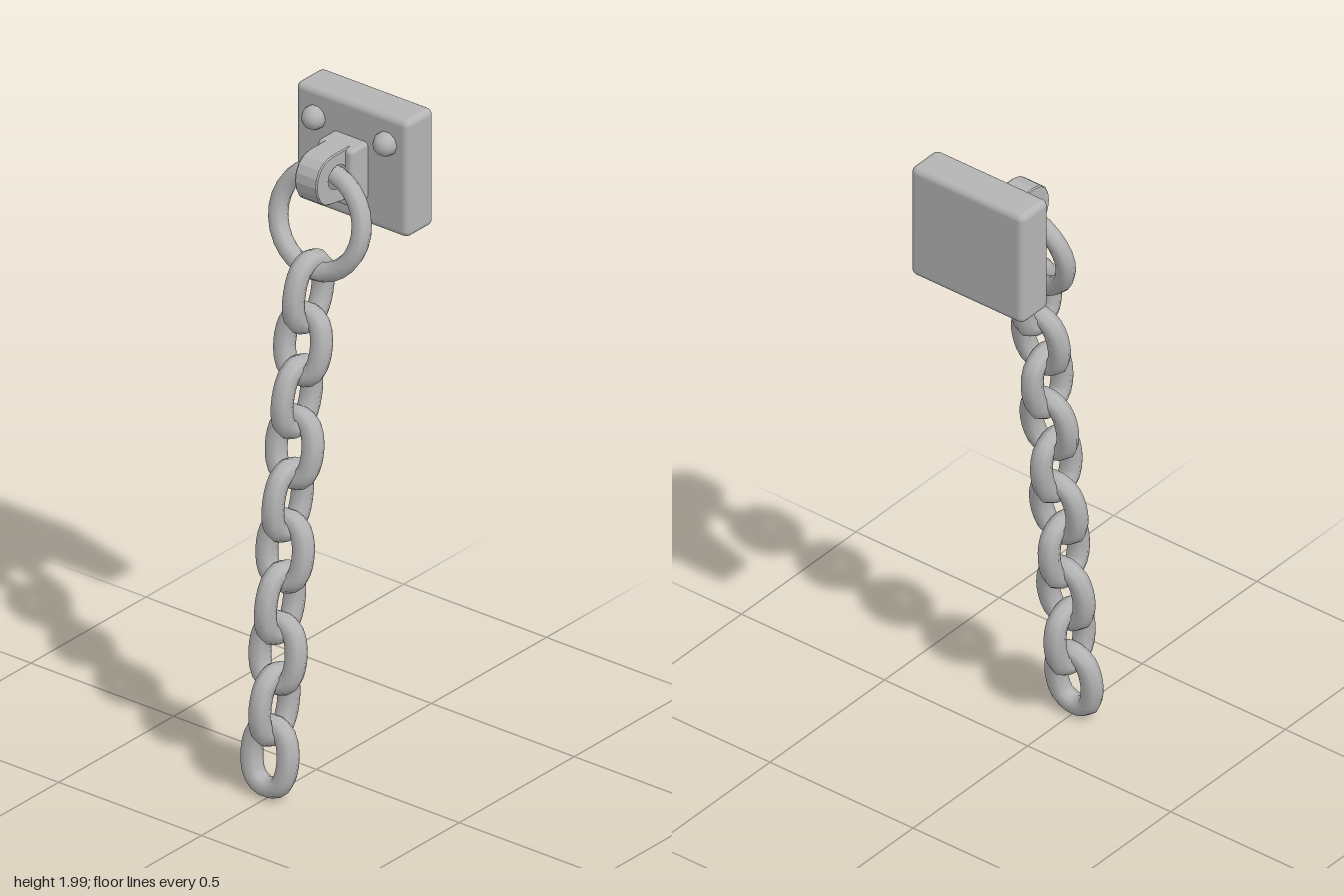
import * as THREE from 'three';
import { RoundedBoxGeometry } from 'three/addons/geometries/RoundedBoxGeometry.js';

const iron = new THREE.MeshStandardMaterial({ color: 0xb4b4b4 });
iron.name = 'iron grey';

function part(parent, name, geometry, x, y, z) {
  const mesh = new THREE.Mesh(geometry, iron);
  mesh.name = name;
  mesh.position.set(x, y, z);
  parent.add(mesh);
  return mesh;
}

// Oval link: two half circles joined by straight sides, swept as a tube
function linkGeometry(halfWidth, halfHeight, radius) {
  const points = [];
  const straight = halfHeight - halfWidth;
  for (const side of [1, -1]) {
    for (let i = 0; i <= 4; i++) {
      const a = (i / 4) * Math.PI + (side > 0 ? 0 : Math.PI);
      points.push(new THREE.Vector3(Math.cos(a) * halfWidth, Math.sin(a) * halfWidth + side * straight, 0));
    }
  }
  const path = new THREE.CatmullRomCurve3(points, true, 'centripetal');
  return new THREE.TubeGeometry(path, 24, radius, 8, true);
}

export function createModel() {
  const model = new THREE.Group();
  model.name = 'wallChain';

  // Wall plate with worn edges and a slightly uneven front
  const plate = new RoundedBoxGeometry(0.395, 0.36, 0.118, 3, 0.02);
  part(model, 'wallPlate', plate, 0, 1.82, -0.21);

  // Rivets
  for (const side of [1, -1]) {
    const rivet = part(model, side > 0 ? 'leftRivet' : 'rightRivet',
      new THREE.SphereGeometry(0.036, 10, 8), side * 0.125, 1.915, -0.145);
    rivet.rotation.x = Math.PI / 2;
  }

  // Block that carries the hook
  part(model, 'bracketBlock', new RoundedBoxGeometry(0.122, 0.175, 0.09, 2, 0.012), -0.002, 1.807, -0.125);

  // Bent strap around the top of the ring, drawn in the z-y plane
  const strap = new THREE.Shape();
  strap.moveTo(-0.1, 1.893);
  strap.lineTo(-0.02, 1.893);
  strap.bezierCurveTo(0.065, 1.89, 0.06, 1.755, -0.02, 1.752);
  strap.lineTo(-0.1, 1.74);
  strap.closePath();
  const gap = new THREE.Path();
  gap.absellipse(-0.045, 1.825, 0.04, 0.036, 0, Math.PI * 2, true);
  strap.holes.push(gap);
  const strapGeometry = new THREE.ExtrudeGeometry(strap, {
    depth: 0.07, bevelEnabled: true, bevelThickness: 0.004, bevelSize: 0.003, bevelSegments: 1, curveSegments: 8,
  });
  strapGeometry.translate(0, 0, -0.035);
  strapGeometry.rotateY(-Math.PI / 2);
  part(model, 'strap', strapGeometry, -0.002, 0, 0);

  // Large ring leaning out from the wall
  const ring = part(model, 'ring', new THREE.TorusGeometry(0.144, 0.028, 8, 28), -0.002, 1.69, -0.018);
  ring.rotation.x = -0.23;

  // Chain: links alternate between side-on and front-on, drifting forward
  const link = linkGeometry(0.06, 0.0925, 0.0315);
  const drift = [0.03, 0.053, 0.08, 0.09, 0.12, 0.131, 0.153, 0.162, 0.178, 0.197];
  const chain = new THREE.Group();
  chain.name = 'chain';
  model.add(chain);
  drift.forEach((z, i) => {
    const y = 1.49 - i * 0.1511;
    const mesh = part(chain, 'link' + (i + 1), link, -0.004, y, z);
    mesh.rotation.set(-0.19 + i * 0.009, i % 2 === 0 ? Math.PI / 2 : 0, 0);
  });

  return model;
}
